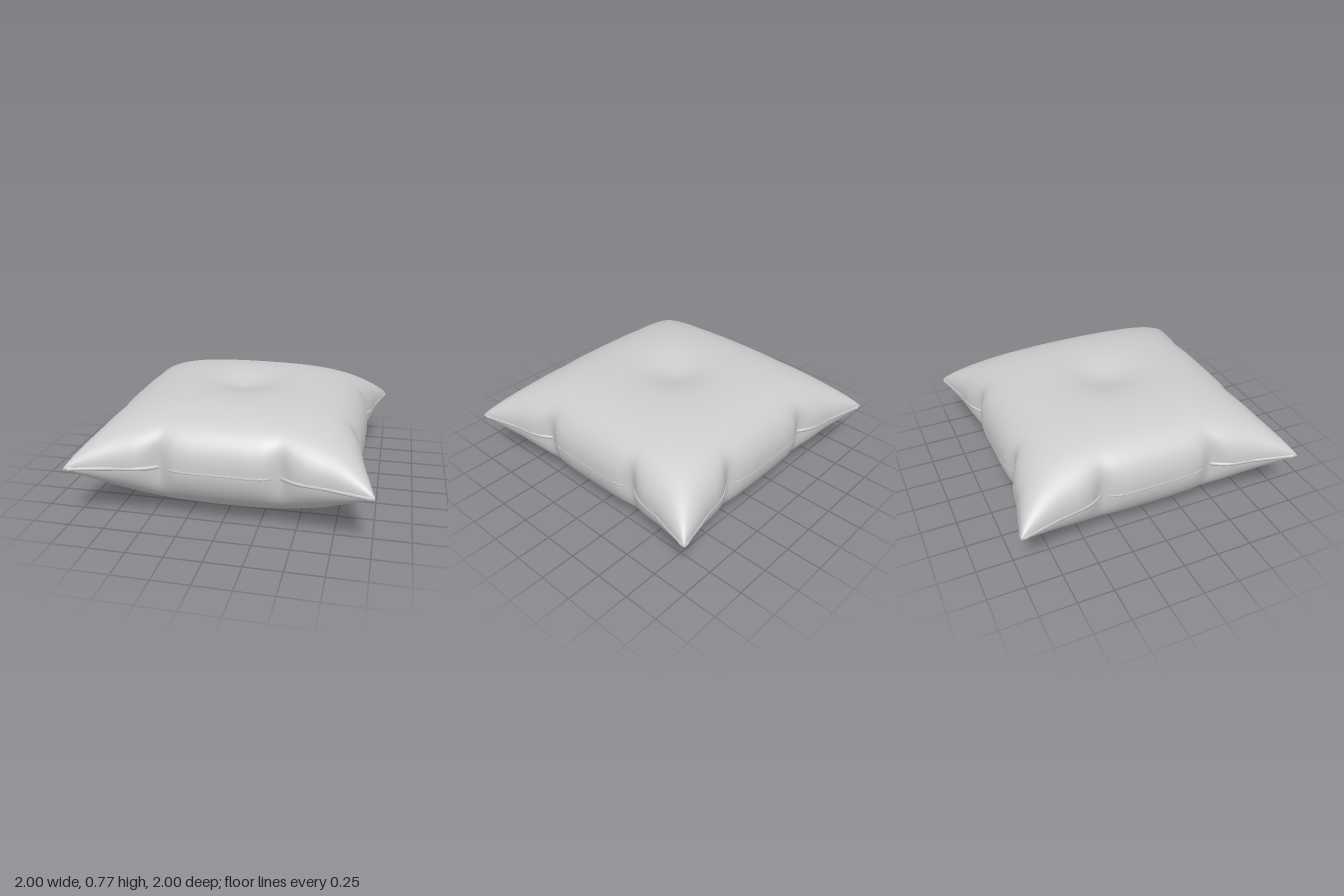
import * as THREE from 'three';

const SEAM_Y = 0.405;

// Half width of the seam outline along one side: puckered at 0.4, drawn out to the corner
const OUTLINE = [[0, 0.885], [0.2, 0.885], [0.3, 0.875], [0.4, 0.826], [0.49, 0.88],
  [0.56, 0.903], [0.7, 0.925], [0.85, 0.963], [1, 1]];

function seamWidth(t) {
  const a = Math.min(Math.abs(t), 1);
  let i = 1;
  while (i < OUTLINE.length - 1 && OUTLINE[i][0] < a) i++;
  const [x0, y0] = OUTLINE[i - 1], [x1, y1] = OUTLINE[i];
  return THREE.MathUtils.mapLinear(a, x0, x1, y0, y1);
}

// Smooth inside, taking on the pucker towards the seam
function bodyWidth(t, across) {
  const smooth = 0.88 + 0.12 * Math.abs(t) ** 3;
  return THREE.MathUtils.lerp(smooth, seamWidth(t), Math.abs(across) ** 14);
}

// One stuffed half: side +1 is the top, -1 the bottom
function halfGeometry(side, { height, flatness, power, dimple }) {
  const swell = (t) => Math.max(0, 1 - Math.abs(t) ** flatness) ** power;
  const geo = new THREE.PlaneGeometry(2, 2, 112, 112);
  geo.rotateX(-side * Math.PI / 2);
  const p = geo.attributes.position;
  for (let i = 0; i < p.count; i++) {
    // Crowd the rows towards the seam, where the surface turns fastest
    const u = Math.sin(p.getX(i) * Math.PI / 2);
    const v = Math.sin(p.getZ(i) * Math.PI / 2);
    const x = u * bodyWidth(v, u), z = v * bodyWidth(u, v);
    // Less filling reaches the corners
    const corner = 1 - 0.28 * u * u * v * v;
    const h = height * swell(u) * swell(v) * corner
      - dimple * Math.exp(-(x * x + z * z) / 0.045);
    p.setXYZ(i, x, SEAM_Y + side * h, z);
  }
  geo.computeVertexNormals();
  return geo;
}

// Piping that follows the whole outline
function pipingGeometry() {
  const up = new THREE.Vector3(0, 1, 0);
  const pts = [];
  const n = 40;
  // Each quarter turn joins the end of one side to the start of the next
  for (let s = 0; s < 4; s++) {
    for (let i = 0; i < n; i++) {
      const t = 1 - 2 * i / n;
      pts.push(new THREE.Vector3(seamWidth(t), 0, t).multiplyScalar(0.984)
        .applyAxisAngle(up, s * Math.PI / 2).setY(SEAM_Y));
    }
  }
  const curve = new THREE.CatmullRomCurve3(pts, true, 'centripetal');
  return new THREE.TubeGeometry(curve, 400, 0.017, 8, true);
}

export function createModel() {
  const group = new THREE.Group();
  group.name = 'pillow';
  const material = new THREE.MeshStandardMaterial({ color: 0xcccccc, side: THREE.DoubleSide });
  const add = (name, geo) => {
    const mesh = new THREE.Mesh(geo, material);
    mesh.name = name;
    group.add(mesh);
  };
  add('topHalf', halfGeometry(1, { height: 0.375, flatness: 4, power: 0.4, dimple: 0.06 }));
  add('bottomHalf', halfGeometry(-1, { height: 0.405, flatness: 3.3, power: 0.5, dimple: 0 }));
  add('seamPiping', pipingGeometry());
  return group;
}
